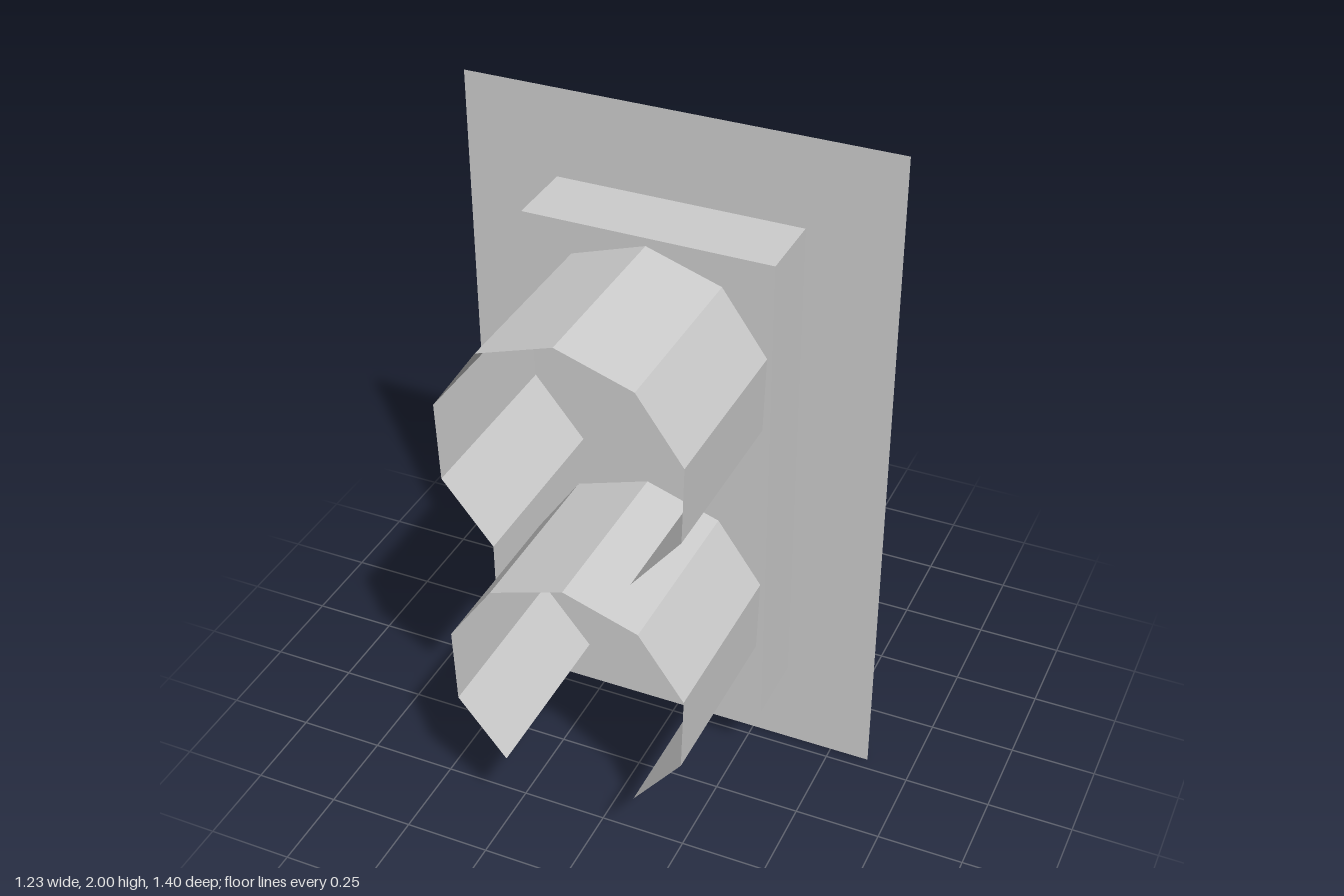
import * as THREE from 'three';

export function createModel() {
  const group = new THREE.Group();
  const grey = new THREE.MeshStandardMaterial({
    color: 0xcccccc, flatShading: true, side: THREE.DoubleSide,
  });
  grey.name = 'plain grey';

  const add = (name, geometry, x, y, z) => {
    const mesh = new THREE.Mesh(geometry, grey);
    mesh.name = name;
    mesh.position.set(x, y, z);
    group.add(mesh);
  };

  // Open tube lying along z; an arc under a full turn leaves its gap at the bottom
  const tube = (radius, length, sides, arc) =>
    new THREE.CylinderGeometry(radius, radius, length, sides, 1, true, Math.PI - arc / 2, arc)
      .rotateX(Math.PI / 2);

  // Thin backing sheet running through the middle of the housing
  add('backingPlate', new THREE.PlaneGeometry(1.234, 2), 0, 1, -0.036);

  // Signal housing
  add('housing', new THREE.BoxGeometry(0.706, 1.47, 0.418), 0, 1.006, -0.036);

  // Lamp hoods, open at the front and underneath
  const hood = tube(0.353, 0.527, 8, THREE.MathUtils.degToRad(294));
  add('upperHood', hood, 0, 1.365, 0.4365);
  add('lowerHood', hood, 0, 0.629, 0.4365);

  // Hollow mounting arm at the back
  add('mountingArm', tube(0.0625, 0.455, 6, Math.PI * 2), 0, 1.006, -0.4725);

  return group;
}
